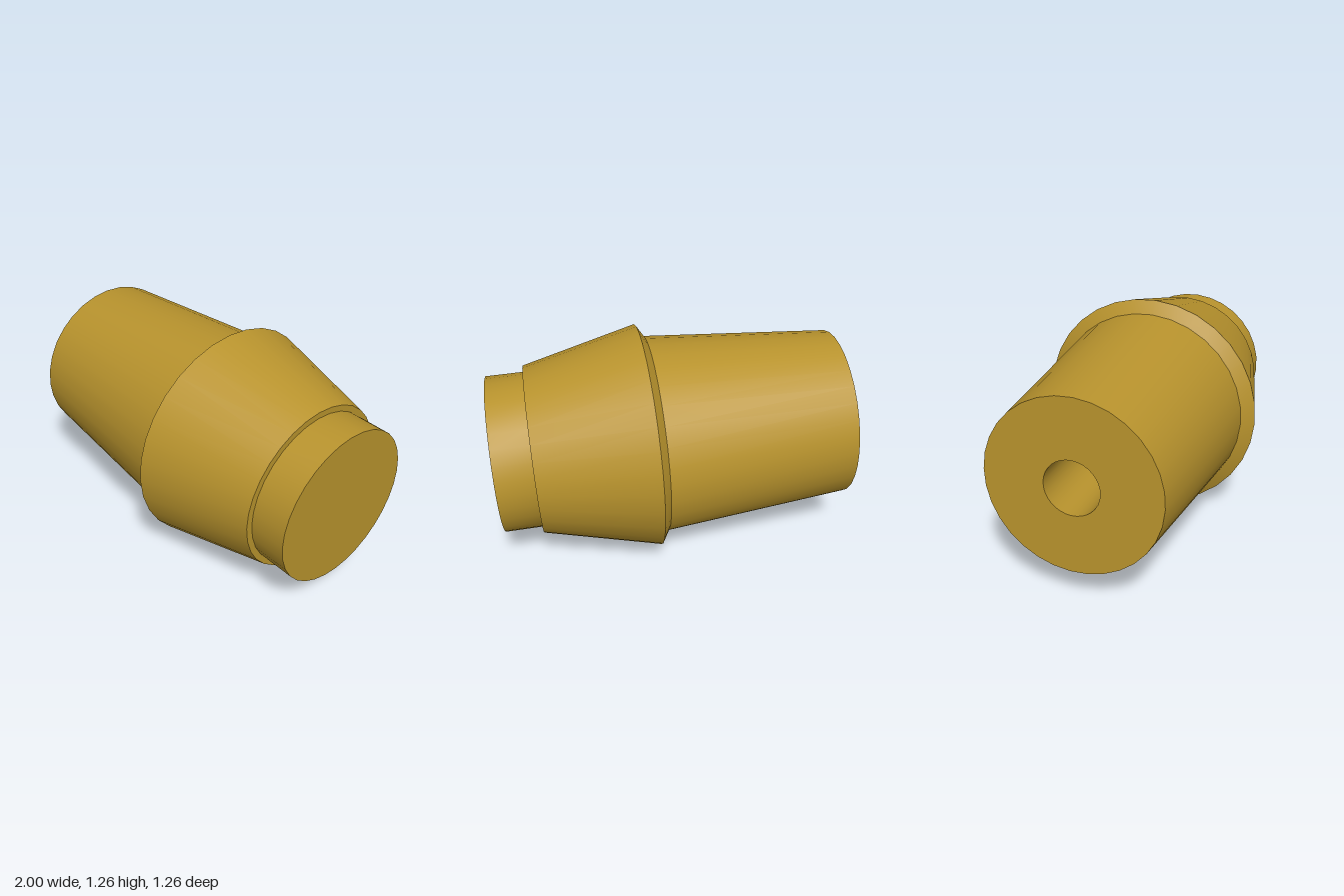
import * as THREE from 'three';
import { toCreasedNormals } from 'three/addons/utils/BufferGeometryUtils.js';

export function createModel() {
  const group = new THREE.Group();
  group.name = 'taperedPlug';
  const material = new THREE.MeshStandardMaterial({ color: 0xb8932d });

  // Turned profile: [radius, distance along the axis from the collar's rim]
  const profile = [
    [0, -0.1], [0.15, -0.1], [0.15, -1.1], // blind bore
    [0.475, -1.1], [0.561, -0.045],        // flared barrel
    [0.633, 0], [0.475, 0.645],            // collar bevel and cone
    [0.44, 0.645], [0.44, 0.855], [0, 0.855], // stepped, closed nose
  ].map(([r, s]) => new THREE.Vector2(r, s));

  const geometry = toCreasedNormals(new THREE.LatheGeometry(profile, 32), 0.4);
  const body = new THREE.Mesh(geometry, material);
  body.name = 'turnedBody';

  // Axis lies along x, tipped slightly down and forward
  const axis = new THREE.Vector3(1, -0.042, 0.035).normalize();
  body.quaternion.setFromUnitVectors(new THREE.Vector3(0, 1, 0), axis);
  body.position.set(0.12, 0.635, -0.002);
  group.add(body);
  return group;
}
